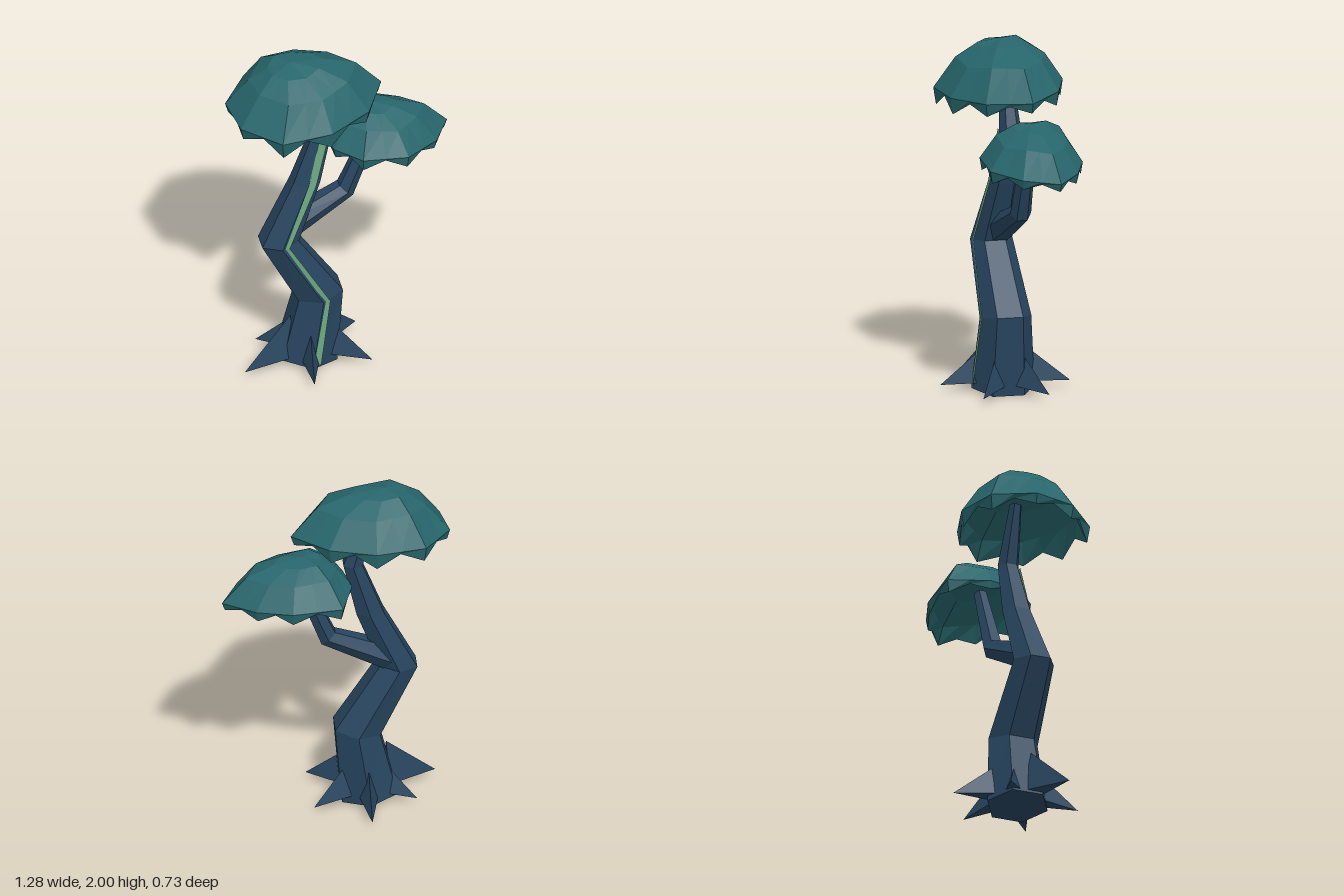
import * as THREE from 'three';

const bark = new THREE.MeshStandardMaterial({ color: 0x27455f, flatShading: true });
const leaf = new THREE.MeshStandardMaterial({ color: 0x27666c, flatShading: true, side: THREE.DoubleSide });
const glow = new THREE.MeshStandardMaterial({ color: 0x6ba57c, flatShading: true, side: THREE.DoubleSide });

// Flat-shaded skin over closed rings with equal point counts, ordered +x towards +z
function loft(rings) {
  const n = rings[0].length, index = [];
  for (let r = 0; r < rings.length - 1; r++) {
    for (let i = 0; i < n; i++) {
      const a = r * n + i, b = r * n + (i + 1) % n;
      index.push(a, a + n, b, b, a + n, b + n);
    }
  }
  const g = new THREE.BufferGeometry();
  g.setAttribute('position', new THREE.Float32BufferAttribute(rings.flat(2), 3));
  g.setIndex(index);
  const flat = g.toNonIndexed();
  flat.computeVertexNormals();
  return flat;
}

// Six-sided limb; each station is [x, y, z, radius, tilt in the xy plane]
function limb(stations) {
  const rings = stations.map(([x, y, z, r, tilt]) =>
    Array.from({ length: 6 }, (_, i) => {
      const a = Math.PI / 6 + i * Math.PI / 3, u = r * Math.cos(a);
      return [x + u * Math.cos(tilt), y + u * Math.sin(tilt), z + r * Math.sin(a)];
    }));
  const cap = ([x, y, z]) => Array(6).fill([x, y, z]);
  return loft([cap(stations[0]), ...rings, cap(stations[stations.length - 1])]);
}

// Three-sided root spike running from the trunk base out to a pointed tip
function root([tx, tz, h, w]) {
  const cx = -0.18, cz = 0.01, y = 0.04;
  const d = new THREE.Vector2(tx - cx, tz - cz).normalize();
  const bx = cx + d.x * 0.12, bz = cz + d.y * 0.12;
  const base = [
    [bx - d.y * w, y + 0.02, bz + d.x * w],
    [bx, h, bz],
    [bx + d.y * w, y + 0.02, bz - d.x * w],
  ];
  return loft([Array(3).fill([bx, y + 0.06, bz]), base, Array(3).fill([tx, y, tz])]);
}

// Hollow cap of leaves with a ragged hanging rim
function canopy({ outline, centre, peak, top, rim, slope, drop }) {
  const mid = (p, q) => p.map((v, k) => (v + q[k]) / 2);
  const withMids = pts => pts.flatMap((p, i) => [p, mid(p, pts[(i + 1) % pts.length])]);
  // Ring scaled from the outline, drifting towards the peak by a lean of 0 to 1
  const ring = (s, height, lean = 0, rough = 0) => withMids(outline.map(([x, z], i) => {
    const dx = (x - centre[0]) * s, dz = (z - centre[1]) * s;
    return [
      centre[0] + (peak[0] - centre[0]) * lean + dx,
      height + slope[0] * dx + slope[1] * dz + rough * Math.sin(i * 2.3),
      centre[1] + (peak[1] - centre[1]) * lean + dz,
    ];
  }));
  // Hanging leaf tips, longest towards the front and back
  const fringe = ring(0.96, rim).map(([x, y, z], i) => {
    const hang = i % 2 ? 0.2 : 0.5 + 1.4 * Math.abs(z - centre[1]);
    return [x, y - drop * hang, z];
  });
  const rise = top - rim;
  return loft([
    ring(0, rim + rise * 0.75),
    ring(0.5, rim + rise * 0.62),
    ring(0.84, rim + rise * 0.2),
    fringe,
    ring(1, rim),
    ring(0.69, rim + rise * 0.63, 0, 0.012),
    ring(0.36, rim + rise * 0.91, 0.6, 0.008),
    ring(0, top, 1),
  ]);
}

export function createModel() {
  const model = new THREE.Group();
  const add = (name, geometry, material) => {
    const mesh = new THREE.Mesh(geometry, material);
    mesh.name = name;
    model.add(mesh);
  };

  // Zigzag trunk
  add('trunk', limb([
    [-0.19, 0.022, 0.015, 0.18, -0.12],
    [-0.125, 0.44, 0.015, 0.147, 0.16],
    [-0.357, 0.835, 0.045, 0.12, 0.08],
    [-0.197, 1.2, 0.01, 0.089, 0],
    [-0.1, 1.52, -0.005, 0.062, 0.05],
    [-0.2, 1.86, 0, 0.035, 0.2],
  ]), bark);

  // Side branch carrying the lower canopy
  add('branch', limb([
    [-0.32, 0.89, 0.02, 0.085, -1.1],
    [0.04, 1.07, -0.035, 0.06, -0.75],
    [0.21, 1.48, -0.045, 0.04, -0.3],
  ]), bark);

  // Root spikes: tip x, tip z, height, half width
  [
    [-0.575, 0.17, 0.31, 0.06],
    [-0.45, -0.13, 0.21, 0.05],
    [-0.18, -0.365, 0.25, 0.055],
    [0.13, -0.18, 0.26, 0.055],
    [0.145, 0.2, 0.26, 0.055],
    [-0.22, 0.365, 0.25, 0.055],
  ].forEach(r => add('root', root(r), bark));

  // Pale strip up the front edge of the trunk: x, y, z, half width
  const strip = [
    [-0.165, 0.045, 0.194, 0.02],
    [-0.098, 0.445, 0.157, 0.013],
    [-0.343, 0.835, 0.155, 0.028],
    [-0.175, 1.2, 0.098, 0.022],
    [-0.095, 1.52, 0.06, 0.025],
  ];
  const points = strip.flatMap(([x, y, z, w]) => [x - w, y, z, x + w, y, z]);
  const stripGeometry = new THREE.BufferGeometry();
  stripGeometry.setAttribute('position', new THREE.Float32BufferAttribute(points, 3));
  stripGeometry.setIndex([0, 2, 4, 6].flatMap(i => [i, i + 1, i + 2, i + 1, i + 3, i + 2]));
  stripGeometry.computeVertexNormals();
  add('trunkStrip', stripGeometry, glow);

  // Canopies
  add('upperCanopy', canopy({
    outline: [[0.25, -0.06], [0.13, 0.18], [-0.11, 0.33], [-0.4, 0.365], [-0.6, 0.185],
      [-0.64, -0.05], [-0.49, -0.265], [-0.21, -0.33], [0.05, -0.25]],
    centre: [-0.22, 0], peak: [-0.28, 0], top: 2, rim: 1.735, slope: [0.01, -0.08], drop: 0.1,
  }), leaf);
  add('lowerCanopy', canopy({
    outline: [[0.64, -0.135], [0.54, 0.06], [0.35, 0.205], [0.09, 0.21], [-0.05, 0.08],
      [-0.09, -0.1], [-0.02, -0.335], [0.26, -0.34], [0.46, -0.27]],
    centre: [0.21, -0.07], peak: [0.18, -0.07], top: 1.615, rim: 1.405, slope: [-0.07, 0], drop: 0.08,
  }), leaf);

  return model;
}
